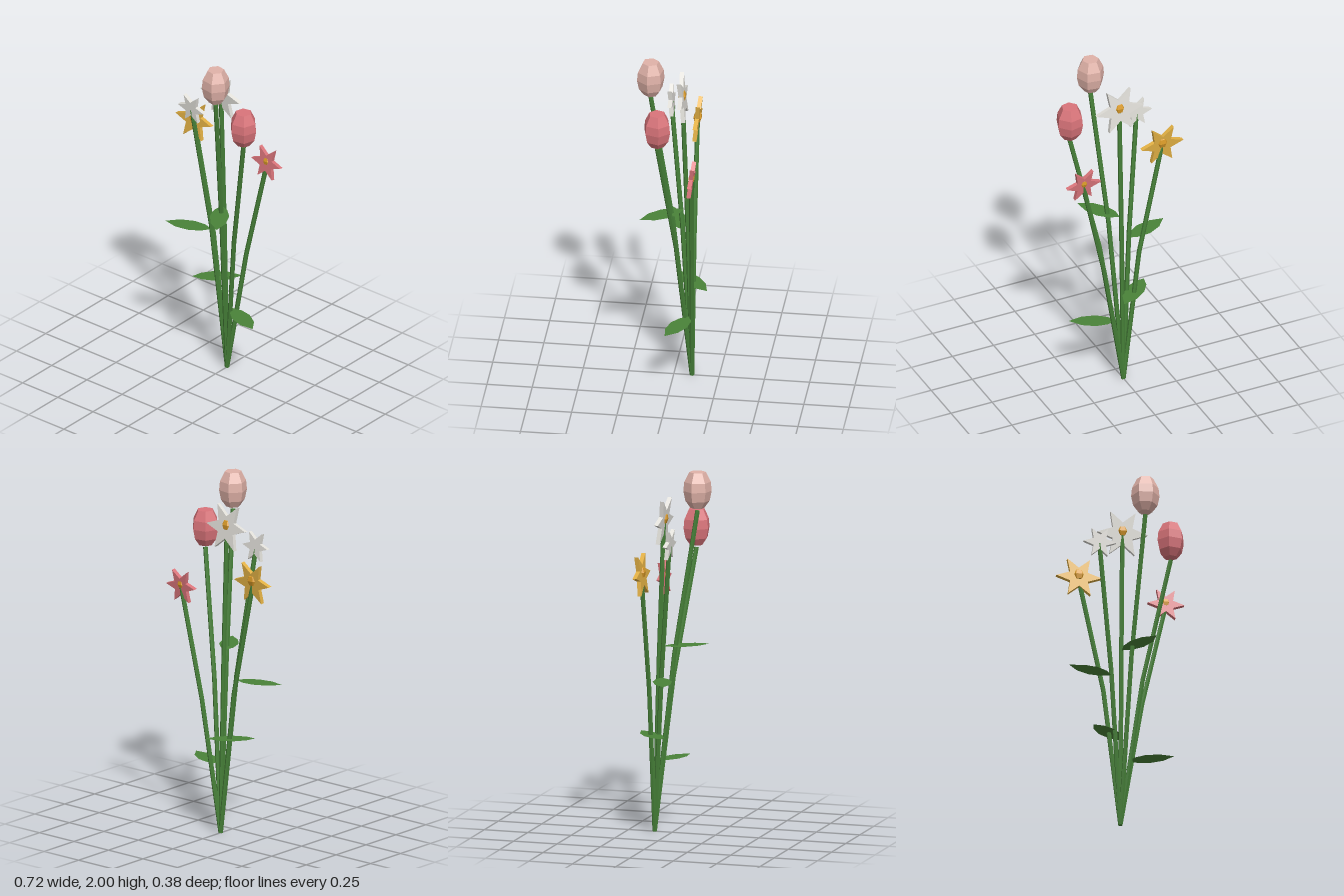
import * as THREE from 'three';

const paint = (name, color, extra = {}) => {
  const m = new THREE.MeshStandardMaterial({ color, ...extra });
  m.name = name;
  return m;
};

// Faceted normals for the low-poly look
const facet = (geometry) => {
  const g = geometry.index ? geometry.toNonIndexed() : geometry;
  g.computeVertexNormals();
  return g;
};

const V = (p) => new THREE.Vector3(...p);

export function createModel() {
  const green = paint('stem green', 0x468038);
  const leafGreen = paint('leaf green', 0x4a8239, { side: THREE.DoubleSide });
  const white = paint('petal white', 0xe2e0da);
  const yellow = paint('petal yellow', 0xe2b044);
  const pink = paint('petal pink', 0xd9747a);
  const pale = paint('petal pale pink', 0xe0b2a8);
  const amber = paint('flower centre amber', 0xd99a28);

  const model = new THREE.Group();
  model.name = 'bouquet';

  const add = (parent, name, geometry, material) => {
    const mesh = new THREE.Mesh(facet(geometry), material);
    mesh.name = name;
    parent.add(mesh);
    return mesh;
  };

  // Six-sided stem with one bend, fanning out from the shared foot
  const foot = V([0, 0.002, -0.1]);
  const stem = (parent, top, bend = 0.44) => {
    const end = V(top);
    const d = end.clone().sub(foot);
    const mid = foot.clone().add(new THREE.Vector3(d.x * bend, d.y * 0.55, d.z * (bend + 0.02)));
    [[foot, mid], [mid, end]].forEach(([a, b]) => {
      const dir = b.clone().sub(a);
      const rod = add(parent, 'stem', new THREE.CylinderGeometry(0.013, 0.013, dir.length() + 0.004, 6), green);
      rod.position.copy(a).lerp(b, 0.5);
      rod.quaternion.setFromUnitVectors(new THREE.Vector3(0, 1, 0), dir.normalize());
    });
  };

  // Closed six-sided tulip bud
  const tulip = (name, [x, y, z], turn, material) => {
    const flower = new THREE.Group();
    flower.name = name;
    const profile = [[0, -0.1], [0.038, -0.1], [0.067, -0.06], [0.078, -0.005], [0.073, 0.045], [0.046, 0.1], [0, 0.1]]
      .map(([r, h]) => new THREE.Vector2(r, h));
    const bud = add(flower, 'bud', new THREE.LatheGeometry(profile, 6, THREE.MathUtils.degToRad(turn)), material);
    bud.position.set(x, y, z);
    stem(flower, [x, y - 0.117, z]);
    model.add(flower);
  };

  tulip('paleTulip', [0.097, 1.9, 0.115], 22, pale);
  tulip('pinkTulip', [0.249, 1.663, 0.06], 42, pink);

  // Six-pointed star flower with a centre showing on both sides
  const star = (name, [x, y, z], radius, centre, tilt, material, bend) => {
    const flower = new THREE.Group();
    flower.name = name;
    const outline = [];
    for (let i = 0; i < 12; i++) {
      const r = i % 2 ? radius * 0.45 : radius;
      const a = (i * Math.PI) / 6;
      outline.push(new THREE.Vector2(r * Math.cos(a), r * Math.sin(a)));
    }
    const depth = 0.023;
    const petals = new THREE.ExtrudeGeometry(new THREE.Shape(outline), { depth, bevelEnabled: false });
    petals.translate(0, 0, -depth / 2);
    const head = new THREE.Group();
    head.name = 'flowerHead';
    head.position.set(x, y, z);
    head.rotation.x = THREE.MathUtils.degToRad(tilt);
    add(head, 'petals', petals, material);
    const ball = add(head, 'flowerCentre', new THREE.SphereGeometry(centre, 6, 4), amber);
    ball.position.y = centre * 0.4;
    ball.scale.z = 0.7;
    flower.add(head);
    stem(flower, [x, y - 0.01, z], bend);
    model.add(flower);
  };

  star('largeWhiteFlower', [0, 1.735, -0.048], 0.14, 0.034, 6, white);
  star('smallWhiteFlower', [-0.142, 1.635, 0.031], 0.09, 0.017, 4, white);
  star('yellowFlower', [-0.233, 1.475, -0.101], 0.126, 0.036, -5, yellow, 0.41);
  star('pinkFlower', [0.258, 1.367, -0.13], 0.102, 0.027, -6, pink, 0.48);

  // Flat pointed leaf lying level, from its base to its tip
  const leaf = (y, [x0, z0], [x1, z1]) => {
    const length = Math.hypot(x1 - x0, z1 - z0);
    const side = [[0.18, 0.036], [0.43, 0.053], [0.73, 0.042]];
    const shape = new THREE.Shape([
      [0, 0], ...side.map(([t, w]) => [t, -w]),
      [1, 0], ...side.slice().reverse(),
    ].map(([t, w]) => new THREE.Vector2(t * length, w)));
    const blade = new THREE.ShapeGeometry(shape).rotateX(-Math.PI / 2);
    const mesh = add(model, 'leaf', blade, leafGreen);
    mesh.position.set(x0, y, z0);
    mesh.rotation.y = Math.atan2(z0 - z1, x1 - x0);
  };

  leaf(1.035, [0, -0.055], [0.15, 0.17]);
  leaf(0.872, [-0.06, -0.04], [-0.314, 0.05]);
  leaf(0.55, [-0.17, -0.005], [0.037, -0.188]);
  leaf(0.387, [0.04, -0.095], [0.277, 0.015]);

  return model;
}
